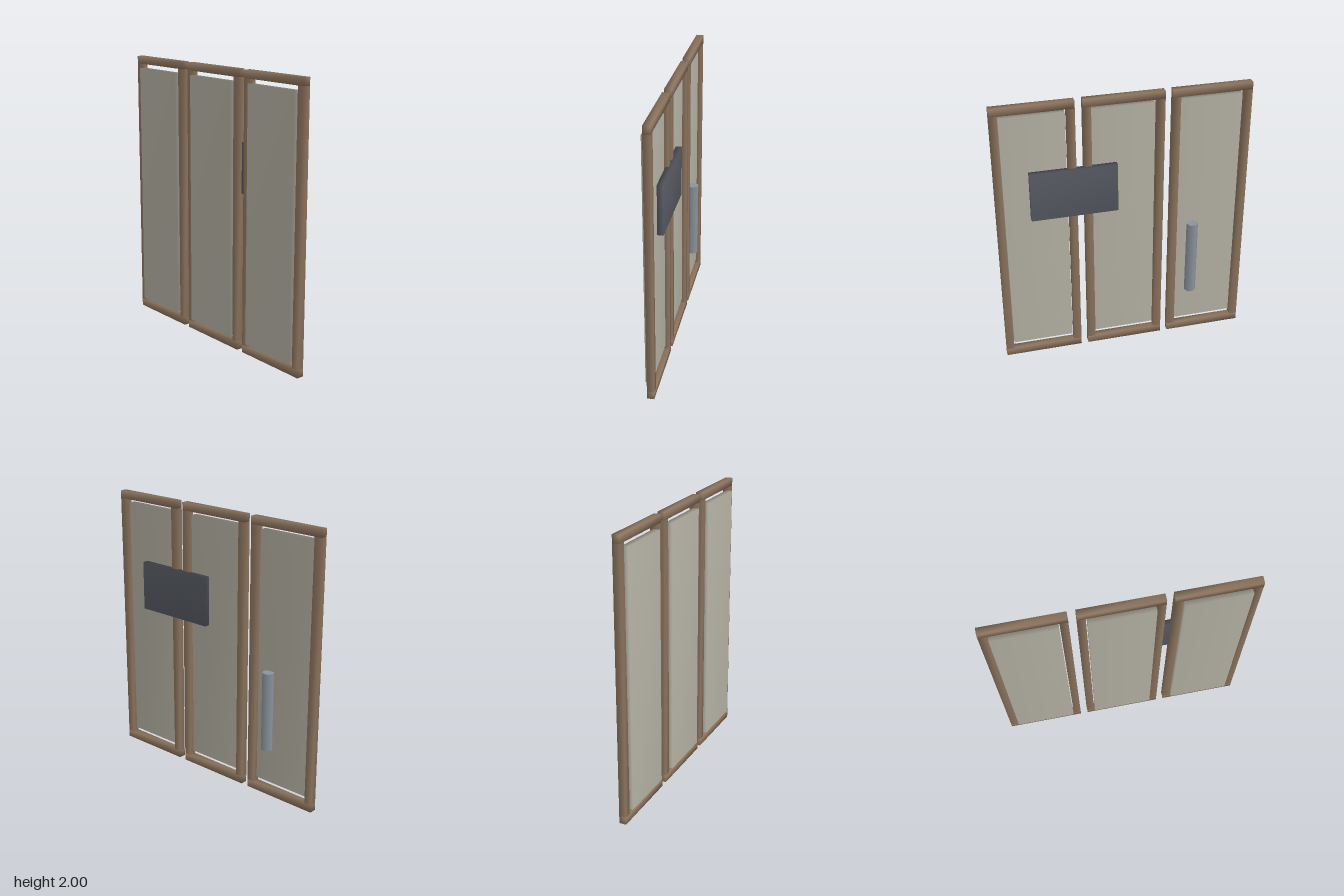
import * as THREE from 'three';
import { mergeVertices } from 'three/addons/utils/BufferGeometryUtils.js';

const material = (color) => new THREE.MeshStandardMaterial({ color });
const wood = material(0x8c745e);
const sheet = material(0xb5b1a4);
const darkMetal = material(0x555960);
const paleMetal = material(0x8a939c);

// Box given by its limits, with normals shared across the corners for a soft look
function softBox(name, mat, [x0, x1], [y0, y1], [z0, z1]) {
  const box = new THREE.BoxGeometry(x1 - x0, y1 - y0, z1 - z0);
  box.deleteAttribute('normal');
  box.deleteAttribute('uv');
  const geometry = mergeVertices(box);
  geometry.computeVertexNormals();
  const mesh = new THREE.Mesh(geometry, mat);
  mesh.name = name;
  mesh.position.set((x0 + x1) / 2, (y0 + y1) / 2, (z0 + z1) / 2);
  return mesh;
}

// One framed leaf: two stiles, two rails and the sheet standing proud at the front
function framedPanel(name) {
  const leaf = new THREE.Group();
  leaf.name = name;
  const half = 0.283, bar = 0.055, height = 2;
  const depth = [-0.018, 0.033];
  leaf.add(
    softBox('bottomRail', wood, [-half, half], [0, bar], depth),
    softBox('topRail', wood, [-half, half], [height - bar, height], depth),
    softBox('rightStile', wood, [-half, -half + bar], [bar, height - bar], depth),
    softBox('leftStile', wood, [half - bar, half], [bar, height - bar], depth),
    softBox('sheet', sheet, [-0.221, 0.221], [0.087, 1.915], [0.01, 0.056])
  );
  return leaf;
}

export function createModel() {
  const model = new THREE.Group();
  model.name = 'threePanelScreen';

  // Three equal leaves side by side
  ['rightPanel', 'middlePanel', 'leftPanel'].forEach((name, i) => {
    const leaf = framedPanel(name);
    leaf.position.x = (i - 1) * 0.62;
    model.add(leaf);
  });

  // Plate on the back joining the middle and left leaves
  model.add(softBox('backPlate', darkMetal, [0.052, 0.665], [1.145, 1.505], [-0.04, 0.002]));

  // Upright six-sided handle on the back of the right leaf, flat side outward
  const handle = new THREE.Mesh(new THREE.CylinderGeometry(0.044, 0.044, 0.58, 6), paleMetal);
  handle.name = 'handle';
  handle.rotation.y = Math.PI / 6;
  handle.position.set(-0.508, 0.65, -0.019);
  model.add(handle);

  return model;
}
